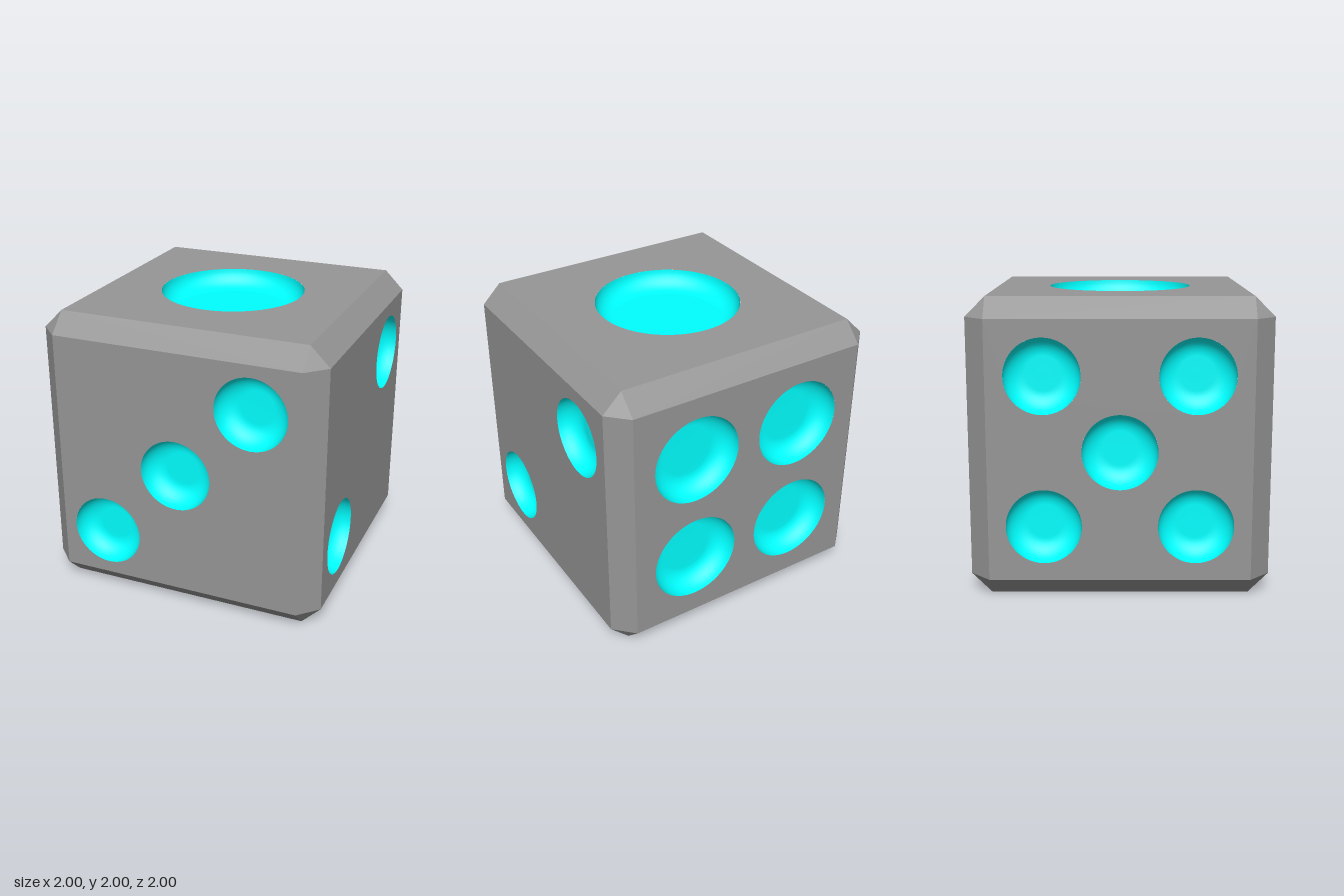
import * as THREE from 'three';

const HALF = 1;        // half of the cube's side
const INNER = 0.867;   // half of each flat face inside its chamfers
const DEPTH = 0.133;   // depth of the hollows and radius of their rounded walls
const SEGMENTS = 64;

const bodyMaterial = new THREE.MeshStandardMaterial({ color: 0x969696 });
const pipMaterial = new THREE.MeshStandardMaterial({ color: 0x00ffff });

// Flat square face with a round hole for every pip
function faceGeometry(pips, radius) {
  const shape = new THREE.Shape([
    new THREE.Vector2(-INNER, -INNER), new THREE.Vector2(INNER, -INNER),
    new THREE.Vector2(INNER, INNER), new THREE.Vector2(-INNER, INNER),
  ]);
  for (const [x, y] of pips) {
    shape.holes.push(new THREE.Path().absarc(x, y, radius, 0, Math.PI * 2, true));
  }
  return new THREE.ShapeGeometry(shape, SEGMENTS);
}

// Dish with a quarter-round wall and a flat floor, opening towards +z
function pipGeometry(radius) {
  const profile = [];
  for (let i = 0; i <= 10; i++) {
    const a = (i / 10) * Math.PI / 2;
    profile.push(new THREE.Vector2(radius - DEPTH * (1 - Math.cos(a)), -DEPTH * Math.sin(a)));
  }
  profile.push(new THREE.Vector2(0, -DEPTH));
  return new THREE.LatheGeometry(profile, SEGMENTS).rotateX(Math.PI / 2);
}

// Bevel strips along the 12 edges and triangles at the 8 corners
function chamferGeometry() {
  const positions = [];
  const triangle = (a, b, c) => {
    const normal = b.clone().sub(a).cross(c.clone().sub(a));
    const outward = normal.dot(a.clone().add(b).add(c)) > 0;
    for (const p of outward ? [a, b, c] : [a, c, b]) positions.push(p.x, p.y, p.z);
  };
  // Corner point lying on the face across the given axis
  const corner = (signs, axis) => new THREE.Vector3(
    ...signs.map((s, i) => s * (i === axis ? HALF : INNER)));

  for (const sx of [-1, 1]) for (const sy of [-1, 1]) for (const sz of [-1, 1]) {
    const s = [sx, sy, sz];
    triangle(corner(s, 0), corner(s, 1), corner(s, 2));
    // Each strip starts from the corner on the negative end of its axis
    for (let axis = 0; axis < 3; axis++) {
      if (s[axis] > 0) continue;
      const end = s.map((v, i) => (i === axis ? 1 : v));
      const p = (axis + 1) % 3, q = (axis + 2) % 3;
      triangle(corner(s, p), corner(s, q), corner(end, q));
      triangle(corner(s, p), corner(end, q), corner(end, p));
    }
  }
  const geometry = new THREE.BufferGeometry();
  geometry.setAttribute('position', new THREE.Float32BufferAttribute(positions, 3));
  geometry.computeVertexNormals();
  return geometry;
}

// All four sign combinations of a pip position
const square = (x, y) => [[-x, -y], [x, -y], [-x, y], [x, y]];

const FACES = [
  { name: 'topFace', rotation: [-Math.PI / 2, 0], radius: 0.5, pips: [[0, 0]] },
  { name: 'leftFace', rotation: [0, Math.PI / 2], radius: 0.267, pips: [[0.5, 0.5], [-0.5, -0.5]] },
  { name: 'frontFace', rotation: [0, 0], radius: 0.25, pips: [[0.533, 0.533], [0, 0], [-0.533, -0.533]] },
  { name: 'backFace', rotation: [0, Math.PI], radius: 0.317, pips: square(0.4, 0.4) },
  { name: 'rightFace', rotation: [0, -Math.PI / 2], radius: 0.25, pips: [...square(0.5, 0.5), [0, 0]] },
  { name: 'bottomFace', rotation: [Math.PI / 2, 0], radius: 0.25, pips: [...square(0.33, 0.55), [-0.33, 0], [0.33, 0]] },
];

export function createModel() {
  const die = new THREE.Group();
  die.name = 'die';

  const chamfers = new THREE.Mesh(chamferGeometry(), bodyMaterial);
  chamfers.name = 'chamferedEdges';
  chamfers.position.y = HALF;
  die.add(chamfers);

  // Six faces, each with its own pips
  for (const { name, rotation, radius, pips } of FACES) {
    const side = new THREE.Group();
    side.name = name;
    side.position.y = HALF;
    side.rotation.set(rotation[0], rotation[1], 0);

    const plate = new THREE.Mesh(faceGeometry(pips, radius), bodyMaterial);
    plate.name = 'facePlate';
    plate.position.z = HALF;
    side.add(plate);

    const dish = pipGeometry(radius);
    for (const [x, y] of pips) {
      const pip = new THREE.Mesh(dish, pipMaterial);
      pip.name = 'pip';
      pip.position.set(x, y, HALF);
      side.add(pip);
    }
    die.add(side);
  }
  return die;
}
